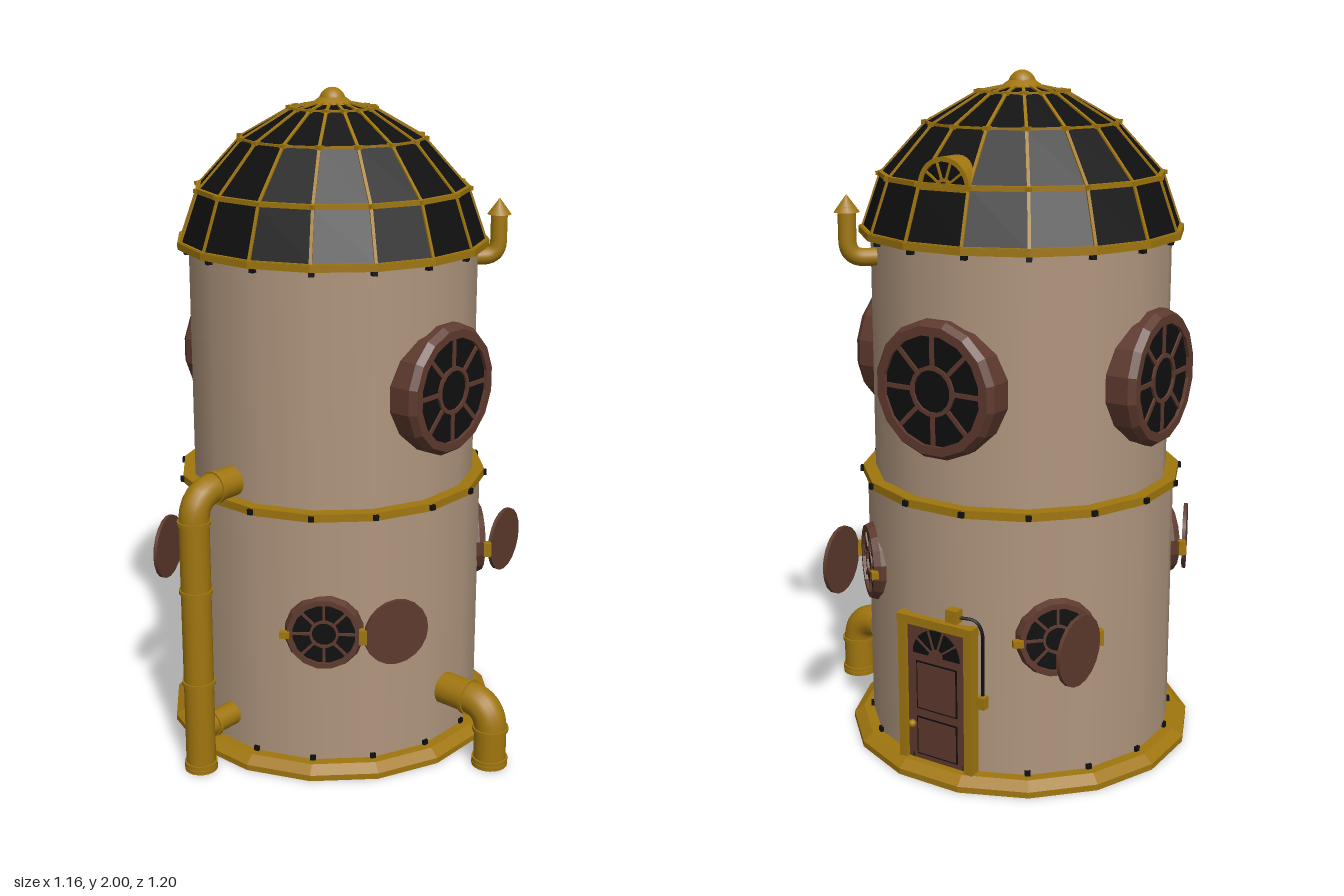
import * as THREE from 'three';
import { mergeGeometries } from 'three/addons/utils/BufferGeometryUtils.js';

const mat = (name, color) => { const m = new THREE.MeshStandardMaterial({ color }); m.name = name; return m; };
const V = (x, y, z) => new THREE.Vector3(x, y, z);
const AX = 0.06, AZ = -0.085, SIDES = 16, STEP = Math.PI / 8, HALF = Math.PI / 16;
const DEG = Math.PI / 180;

export function createModel() {
  const wall = mat('plaster', 0xb0967e), brass = mat('brass', 0xa0760e);
  const wood = mat('brown wood', 0x5e3a2e), black = mat('black glass', 0x0f0f0f);
  const root = new THREE.Group();
  root.name = 'tower';

  const add = (parent, name, geo, material, x = 0, y = 0, z = 0) => {
    const m = new THREE.Mesh(geo, material);
    m.name = name;
    m.position.set(x, y, z);
    parent.add(m);
    return m;
  };
  const flat = (g) => { const f = g.toNonIndexed(); f.computeVertexNormals(); return f; };
  const box = (w, h, d) => new THREE.BoxGeometry(w, h, d);
  const drum = (r1, r0, y0, y1) =>
    new THREE.CylinderGeometry(r1, r0, y1 - y0, SIDES, 1, false, HALF).translate(0, (y0 + y1) / 2, 0);
  const disc = (r, t, n = 24) => new THREE.CylinderGeometry(r, r, t, n).rotateX(Math.PI / 2);
  // square bar between two points
  const bar = (a, b, w) => {
    const o = new THREE.Object3D();
    o.position.copy(a).add(b).multiplyScalar(0.5);
    o.lookAt(b);
    o.updateMatrix();
    return box(w, w, a.distanceTo(b)).applyMatrix4(o.matrix);
  };
  // group on the tower axis whose +z points outward at an azimuth (0 = front, 90 = left)
  const facing = (name, az) => {
    const g = new THREE.Group();
    g.name = name;
    g.rotation.y = az * DEG;
    tower.add(g);
    return g;
  };

  const tower = new THREE.Group();
  tower.name = 'body';
  tower.position.set(AX, 0, AZ);
  root.add(tower);

  // walls and bands
  add(tower, 'lowerWall', drum(0.464, 0.464, 0.03, 0.82), wall);
  add(tower, 'upperWall', drum(0.44, 0.44, 0.82, 1.55), wall);
  add(tower, 'basePlinth', flat(drum(0.525, 0.525, 0, 0.018)), brass);
  add(tower, 'baseBevel', flat(drum(0.495, 0.525, 0.018, 0.04)), brass);
  add(tower, 'middleBand', flat(drum(0.478, 0.478, 0.812, 0.836)), brass);
  add(tower, 'domeRim', flat(drum(0.474, 0.474, 1.54, 1.56)), brass);

  // bolts along the bands
  const bolts = [];
  for (const [r, y] of [[0.464, 0.047], [0.478, 0.824], [0.446, 1.532]])
    for (let i = 0; i < SIDES; i++)
      bolts.push(box(0.016, 0.016, 0.016).translate(0, y, r).rotateY(HALF + i * STEP));
  add(tower, 'bandBolts', mergeGeometries(bolts), black);

  // glazed dome
  const prof = [[0.463, 1.555], [0.408, 1.71], [0.275, 1.855], [0.125, 1.94], [0, 1.965]];
  const domePts = prof.map(([r, y]) => new THREE.Vector2(r, y));
  add(tower, 'domeGlass', flat(new THREE.LatheGeometry(domePts, SIDES, HALF)), black);

  // dome ribs, hoops and joint plates
  const at = (j, i) => {
    const a = HALF + i * STEP, [r, y] = prof[j];
    return V(r * Math.sin(a), y, r * Math.cos(a));
  };
  const ribs = [];
  for (let i = 0; i < SIDES; i++)
    for (let j = 0; j < 4; j++) {
      ribs.push(bar(at(j, i), at(j + 1, i), 0.009));
      ribs.push(bar(at(j, i), at(j, i + 1), j < 2 ? 0.014 : 0.007));
      if (j) ribs.push(box(0.02, 0.012, 0.02).applyMatrix4(new THREE.Matrix4().setPosition(at(j, i))));
    }
  add(tower, 'domeRibs', mergeGeometries(ribs), brass);
  add(tower, 'finialSkirt', new THREE.CylinderGeometry(0.03, 0.065, 0.025, 16), brass, 0, 1.965, 0);
  add(tower, 'finialBall', new THREE.SphereGeometry(0.04, 20, 14), brass, 0, 1.96, 0);

  // half-round dormer on the dome
  const dormer = facing('dormer', 90);
  const halfRound = (r, hole, depth) => {
    const s = new THREE.Shape();
    s.absarc(0, 0, r, 0, Math.PI, false);
    if (hole) s.absarc(0, 0, hole, Math.PI, 0, true);
    s.closePath();
    return new THREE.ExtrudeGeometry(s, { depth, bevelEnabled: false, curveSegments: 14 });
  };
  add(dormer, 'dormerGlass', halfRound(0.075, 0, 0.11), black, 0, 1.705, 0.288);
  add(dormer, 'dormerArch', halfRound(0.083, 0.07, 0.12), brass, 0, 1.705, 0.284);
  add(dormer, 'dormerHub', halfRound(0.025, 0.017, 0.008), brass, 0, 1.705, 0.396);
  add(dormer, 'dormerSill', box(0.17, 0.012, 0.03), brass, 0, 1.703, 0.393);
  for (let i = 1; i < 5; i++) {
    const a = (i * Math.PI) / 5, c = Math.cos(a), s = Math.sin(a);
    add(dormer, 'dormerBar', bar(V(0.02 * c, 0.02 * s, 0), V(0.075 * c, 0.075 * s, 0), 0.006), brass, 0, 1.705, 0.4);
  }

  // round window: bevelled frame, glass, hub and eight spokes
  const roundWindow = (name, az, y, d, s) => {
    const holder = facing(name, az), g = new THREE.Group();
    g.position.set(0, y, d);
    g.scale.set(s, s, 1);
    holder.add(g);
    const ring = (pts) => flat(new THREE.LatheGeometry(pts.map(([r, h]) => new THREE.Vector2(r, h)), SIDES, HALF).rotateX(Math.PI / 2));
    add(g, 'windowFrame', ring([[0.197, -0.1], [0.197, -0.02], [0.183, 0], [0.157, 0], [0.157, -0.02]]), wood);
    add(g, 'windowGlass', disc(0.165, 0.02), black, 0, 0, -0.02);
    add(g, 'windowHub', ring([[0.072, -0.015], [0.072, -0.003], [0.06, -0.003], [0.06, -0.015]]), wood);
    for (let i = 0; i < 8; i++) {
      const spoke = box(0.095, 0.013, 0.008).translate(0.115, 0, -0.009).rotateZ((i * Math.PI) / 4);
      add(g, 'windowSpoke', spoke, wood);
    }
    return holder;
  };
  for (const az of [0, 90, 180]) roundWindow('largeWindow', az, 1.16, 0.475, 1);

  // portholes with hinged round lids: azimuth, height, hinge side, opening angle
  for (const [az, y, side, open] of [[-52, 0.46, 1, 205], [47, 0.565, -1, 38], [134, 0.46, 1, 42], [226, 0.56, -1, 23]]) {
    const g = roundWindow('porthole', az, y, 0.478, 0.6);
    const t = open * DEG, hx = side * 0.116, hz = 0.487;
    add(g, 'lidHinge', box(0.024, 0.045, 0.024), brass, hx, y, hz - 0.006);
    add(g, 'lidLatch', box(0.03, 0.02, 0.02), brass, -hx, y, 0.478);
    const lid = add(g, 'portholeLid', disc(0.102, 0.011, 20), wood,
      hx - side * 0.106 * Math.cos(t), y, hz + 0.106 * Math.sin(t));
    lid.rotation.y = side * t;
  }

  // door in a brass frame
  const door = facing('door', 90);
  for (const s of [-1, 1]) add(door, 'doorPost', box(0.026, 0.45, 0.05), brass, s * 0.113, 0.262, 0.452);
  add(door, 'doorLintel', box(0.256, 0.026, 0.054), brass, 0, 0.477, 0.452);
  add(door, 'doorLeaf', box(0.2, 0.43, 0.03), wood, 0, 0.252, 0.449);
  for (const [y, h] of [[0.275, 0.15], [0.115, 0.12]]) {
    add(door, 'panelGroove', box(0.14, h, 0.004), black, 0, y, 0.464);
    add(door, 'doorPanel', box(0.13, h - 0.01, 0.009), wood, 0, y, 0.464);
  }
  add(door, 'fanlight', halfRound(0.08, 0, 0.006), black, 0, 0.375, 0.462);
  add(door, 'fanlightHub', halfRound(0.024, 0, 0.006), wood, 0, 0.375, 0.465);
  for (let i = 1; i < 5; i++) {
    const a = (i * Math.PI) / 5;
    add(door, 'fanlightBar', box(0.06, 0.006, 0.006).translate(0.05, 0, 0).rotateZ(a), wood, 0, 0.375, 0.468);
  }
  add(door, 'doorKnob', new THREE.SphereGeometry(0.012, 12, 8), brass, -0.082, 0.15, 0.474);

  // lamp, wire and switch beside the door
  add(door, 'doorLamp', box(0.038, 0.038, 0.04), brass, 0.065, 0.52, 0.465);
  const wire = new THREE.CatmullRomCurve3([V(0.08, 0.515, 0.465), V(0.125, 0.51, 0.452), V(0.142, 0.48, 0.445), V(0.143, 0.38, 0.443), V(0.143, 0.27, 0.443)]);
  add(door, 'lampWire', new THREE.TubeGeometry(wire, 24, 0.005, 6), black);
  add(door, 'lampSwitch', box(0.024, 0.036, 0.025), brass, 0.146, 0.265, 0.448);

  // pipe through one rounded corner, with collars
  const pipe = (name, a, corner, b, r, bend) => {
    const p = corner.clone().add(a.clone().sub(corner).setLength(bend));
    const q = corner.clone().add(b.clone().sub(corner).setLength(bend));
    const path = new THREE.CurvePath();
    path.add(new THREE.LineCurve3(a, p));
    path.add(new THREE.QuadraticBezierCurve3(p, corner, q));
    path.add(new THREE.LineCurve3(q, b));
    add(root, name, new THREE.TubeGeometry(path, 48, r, 16), brass);
  };
  const collar = (x, y, z, r, axis) => {
    const m = add(root, 'pipeCollar', new THREE.CylinderGeometry(r, r, 0.012, 20), brass, x, y, z);
    if (axis === 'x') m.rotation.z = Math.PI / 2;
    if (axis === 'z') m.rotation.x = Math.PI / 2;
  };

  // tall side pipe with a lower branch
  const px = -0.533, pz = -0.1;
  pipe('sidePipe', V(px, 0.006, pz), V(px, 0.885, pz), V(-0.36, 0.885, pz), 0.045, 0.085);
  for (const y of [0.006, 0.02, 0.29, 0.585, 0.8]) collar(px, y, pz, 0.05);
  collar(-0.45, 0.885, pz, 0.05, 'x');
  const branch = add(root, 'sidePipeBranch', new THREE.CylinderGeometry(0.036, 0.036, 0.17, 16), brass, -0.455, 0.13, pz);
  branch.rotation.z = Math.PI / 2;
  collar(-0.48, 0.13, pz, 0.042, 'x');

  // front drain pipe
  pipe('frontPipe', V(0.065, 0.006, 0.548), V(0.065, 0.197, 0.548), V(0.065, 0.197, 0.34), 0.05, 0.085);
  for (const y of [0.006, 0.02, 0.12]) collar(0.065, y, 0.548, 0.055);
  collar(0.065, 0.197, 0.465, 0.055, 'z');

  // small chimney with a conical cap
  pipe('chimney', V(0.34, 1.485, 0.165), V(0.44, 1.485, 0.26), V(0.44, 1.63, 0.26), 0.026, 0.05);
  add(root, 'chimneyCap', new THREE.ConeGeometry(0.037, 0.05, 16), brass, 0.44, 1.64, 0.26);

  return root;
}
